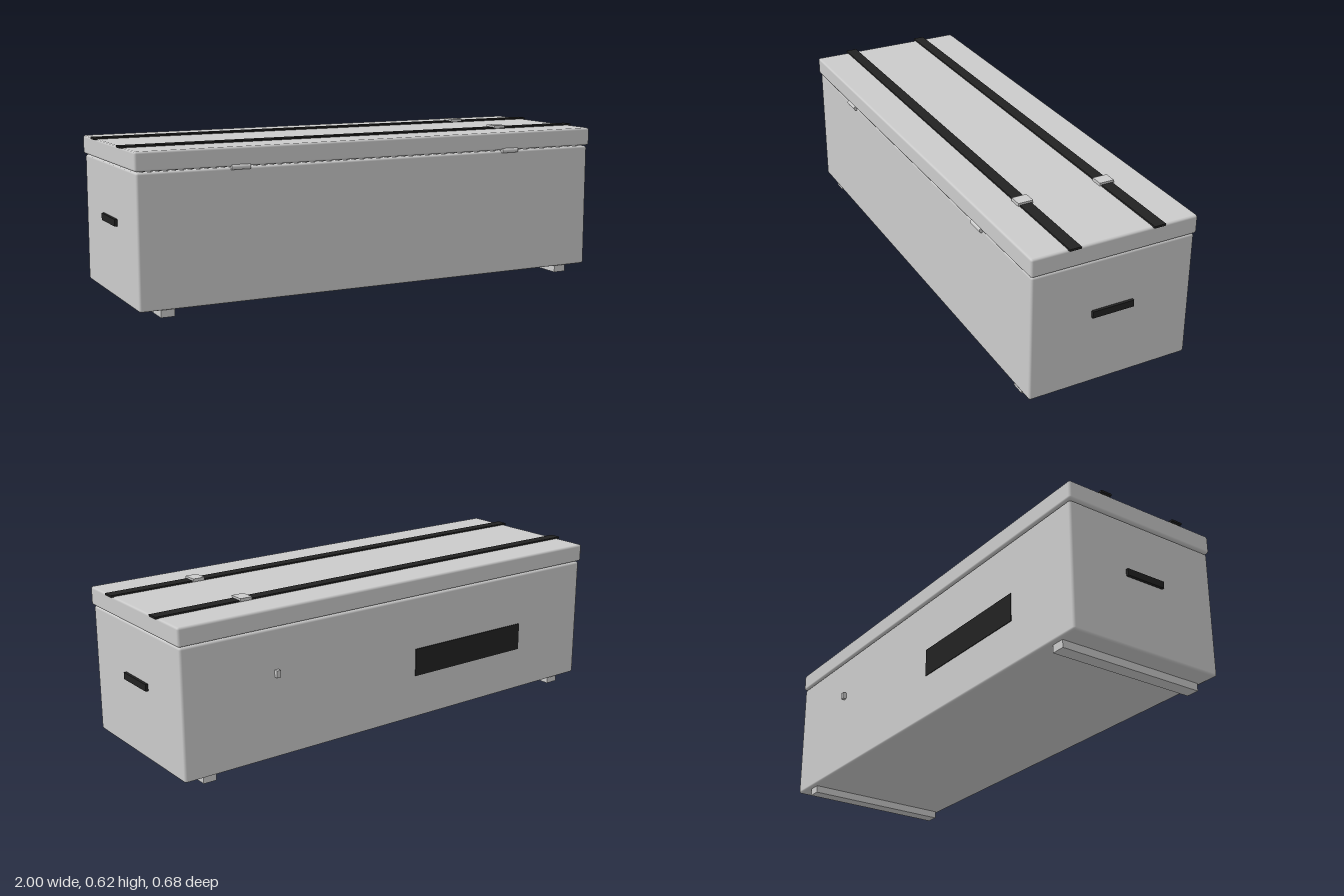
import * as THREE from 'three';
import { RoundedBoxGeometry } from 'three/addons/geometries/RoundedBoxGeometry.js';

export function createModel() {
  const model = new THREE.Group();
  model.name = 'storageChest';
  const grey = new THREE.MeshStandardMaterial({ color: 0xcccccc });
  const dark = new THREE.MeshStandardMaterial({ color: 0x222222 });

  function add(name, geometry, material, x, y, z) {
    const mesh = new THREE.Mesh(geometry, material);
    mesh.name = name;
    mesh.position.set(x, y, z);
    model.add(mesh);
    return mesh;
  }
  const box = (name, w, h, d, material, x, y, z) =>
    add(name, new THREE.BoxGeometry(w, h, d), material, x, y, z);

  // Case and overhanging lid, both with a narrow bevel
  add('body', new RoundedBoxGeometry(1.97, 0.505, 0.656, 1, 0.009), grey, 0, 0.2825, 0.003);
  add('lid', new RoundedBoxGeometry(1.984, 0.073, 0.667, 1, 0.009), grey, 0, 0.5745, 0.0035);

  // Long straps over the lid, each with a buckle
  for (const [side, z] of [['front', 0.172], ['back', -0.166]]) {
    box(side + 'Strap', 2, 0.008, 0.046, dark, 0, 0.613, z);
    box(side + 'Buckle', 0.05, 0.012, 0.06, grey, 0.63, 0.619, z);
  }

  // Parts mirrored left and right
  for (const [side, s] of [['left', 1], ['right', -1]]) {
    box(side + 'Foot', 0.054, 0.032, 0.62, grey, s * 0.873, 0.016, 0.004);
    box(side + 'Handle', 0.016, 0.027, 0.168, dark, s * 0.988, 0.3215, 0.004);
    const hinge = add(side + 'Hinge', new THREE.CylinderGeometry(0.01, 0.01, 0.074, 16),
      grey, s * 0.59, 0.536, 0.333);
    hinge.rotation.z = Math.PI / 2;
  }

  // Lock and dark panel on the back
  box('lock', 0.016, 0.028, 0.018, grey, 0.59, 0.362, -0.332);
  box('backPanel', 0.566, 0.113, 0.006, dark, -0.353, 0.2635, -0.325);

  return model;
}
